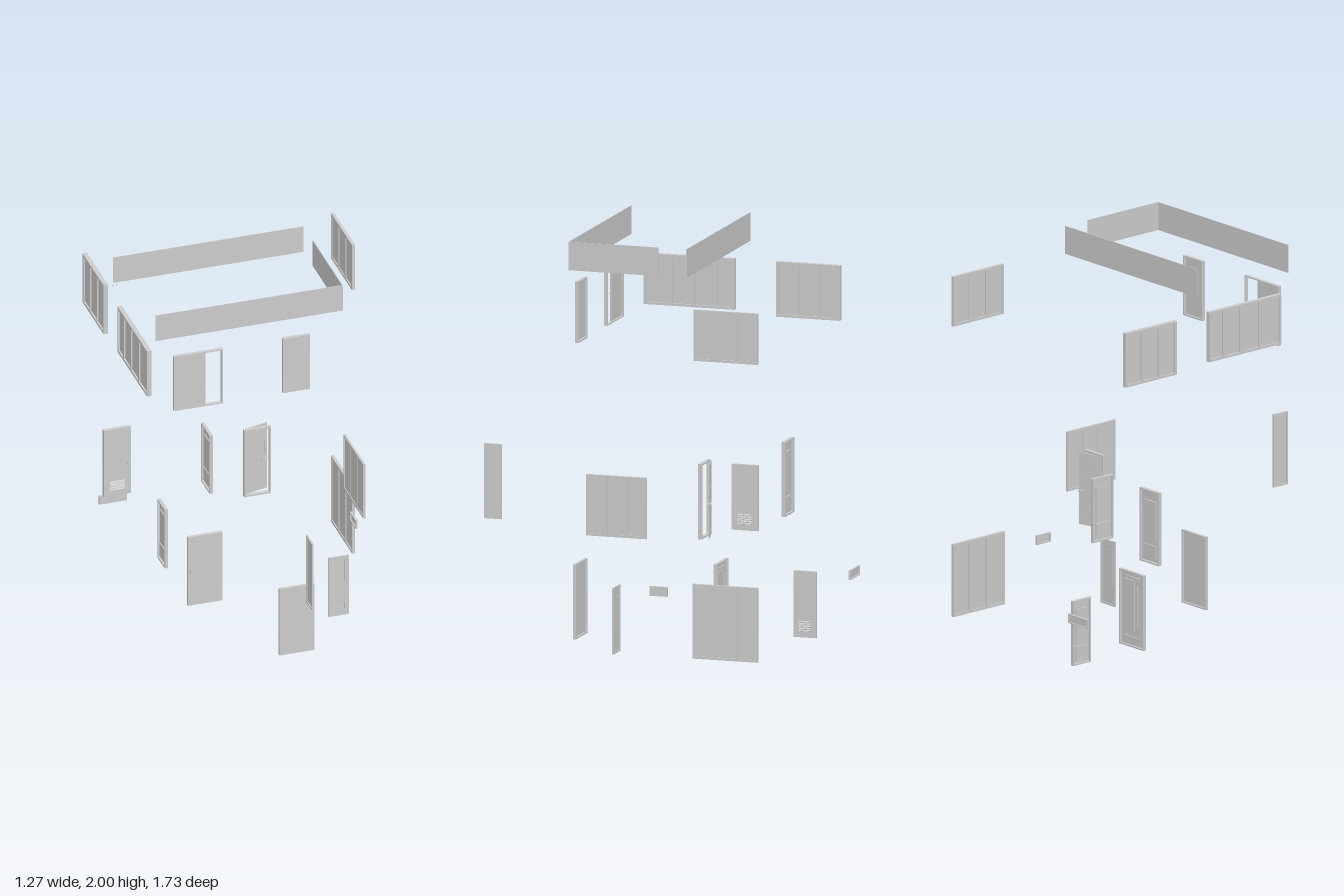
import * as THREE from 'three';

const mat = new THREE.MeshStandardMaterial({ color: 0xcccccc, flatShading: true });

function box(parent, name, w, h, d, x, y, z) {
  const m = new THREE.Mesh(new THREE.BoxGeometry(w, h, d), mat);
  m.name = name;
  m.position.set(x, y, z);
  parent.add(m);
  return m;
}

// Rectangular ring of four bars, centred on the group's origin
function ring(parent, name, w, h, d, t, z = 0) {
  const s = new THREE.Shape();
  s.moveTo(-w / 2, -h / 2).lineTo(w / 2, -h / 2).lineTo(w / 2, h / 2).lineTo(-w / 2, h / 2).closePath();
  const a = w / 2 - t, b = h / 2 - t;
  const hole = new THREE.Path();
  hole.moveTo(-a, -b).lineTo(-a, b).lineTo(a, b).lineTo(a, -b).closePath();
  s.holes.push(hole);
  const g = new THREE.ExtrudeGeometry(s, { depth: d, bevelEnabled: false });
  g.translate(0, 0, z - d / 2);
  const m = new THREE.Mesh(g, mat);
  m.name = name;
  parent.add(m);
}

// Group centred on a bounding box; side 'x' turns the local front to +x
function panelGroup(root, name, [x0, x1], [y0, y1], [z0, z1], side) {
  const g = new THREE.Group();
  g.name = name;
  g.position.set((x0 + x1) / 2, (y0 + y1) / 2, (z0 + z1) / 2);
  if (side === 'x') g.rotation.y = Math.PI / 2;
  root.add(g);
  const w = side === 'x' ? z1 - z0 : x1 - x0;
  const d = side === 'x' ? x1 - x0 : z1 - z0;
  return { g, w, h: y1 - y0, d };
}

// Knob with a small plate
function handle(g, x, y, z) {
  box(g, 'handlePlate', 0.006, 0.016, 0.004, x, y, z);
  const k = new THREE.Mesh(new THREE.CylinderGeometry(0.003, 0.003, 0.008, 8), mat);
  k.name = 'handleKnob';
  k.rotation.x = Math.PI / 2;
  k.position.set(x, y, z + 0.003);
  g.add(k);
}

// Stack of tilted vent slats
function louvers(g, w, x, y, z, count = 5, step = 0.011) {
  for (let i = 0; i < count; i++) {
    box(g, 'ventSlat', w, 0.01, 0.002, x, y + i * step, z).rotation.x = -0.5;
  }
}

// Framed window wall with recessed panes on both sides
function windowWall(root, name, bx, by, bz, splits) {
  const { g, w, h, d } = panelGroup(root, name, bx, by, bz, 'x');
  ring(g, 'frame', w, h, d, 0.012);
  box(g, 'panes', w - 0.02, h - 0.02, d * 0.25, 0, 0, 0);
  for (const s of splits) box(g, 'mullion', 0.012, h - 0.02, d * 0.9, (s - 0.5) * w, 0, 0);
  return { g, w, h, d };
}

// Sheet door: front skin, folded rim and a stiffener plate behind
function door(root, name, bx, by, bz, side, o = {}) {
  const p = panelGroup(root, name, bx, by, bz, side);
  const { g, w, h, d } = p;
  const skin = d * 0.35;
  box(g, 'skin', w, h, skin, 0, 0, d / 2 - skin / 2);
  ring(g, 'rim', w, h, d, 0.008);
  if (o.handle) handle(g, o.handle * (w / 2 - 0.015), o.handleY || 0, d / 2 + 0.001);
  if (o.slot) box(g, 'topSlot', w * 0.6, 0.006, 0.003, 0, h / 2 - 0.028, d / 2);
  if (o.vent) {
    louvers(g, w * 0.55, 0, -h / 2 + 0.035, d / 2);
    box(g, 'ventBacking', w * 0.62, 0.07, d * 0.4, 0, -h / 2 + 0.057, -d * 0.05);
  }
  if (o.stiff) box(g, 'stiffener', w * 0.6, h * 0.55, d * 0.4, 0, h * 0.08, 0);
  return p;
}

export function createModel() {
  const root = new THREE.Group();
  root.name = 'cabinPanels';

  // Roof fascia: three thin walls
  box(root, 'frontFascia', 0.945, 0.14, 0.004, -0.142, 1.93, 0.328);
  box(root, 'backFascia', 0.96, 0.14, 0.004, -0.15, 1.93, -0.268);
  box(root, 'sideFascia', 0.004, 0.14, 0.455, 0.331, 1.93, 0.1025);
  for (const x of [-0.635, -0.615]) box(root, 'fasciaClip', 0.006, 0.004, 0.004, x, 1.845, -0.266);

  // Window walls facing sideways
  windowWall(root, 'rearRightWindow', [-0.636, -0.613], [1.5, 1.77], [-0.73, -0.405], [0.34, 0.67]);
  windowWall(root, 'rearLeftWindow', [0.62, 0.635], [1.52, 1.77], [-0.73, -0.405], [0.34, 0.67]);
  const wide = windowWall(root, 'wideRightWindow', [-0.636, -0.613], [1.52, 1.77], [-0.195, 0.265], [0.3, 0.56, 0.8]);
  handle(wide.g, -0.11, 0, wide.d * 0.4);
  windowWall(root, 'lowerLeftWindow', [0.62, 0.635], [0.06, 0.425], [-0.73, -0.4], [0.34, 0.67]);
  windowWall(root, 'middleLeftWindow', [0.483, 0.494], [0.6, 0.9], [-0.12, 0.187], [0.34, 0.67]);

  // Sliding door covering part of its frame
  const slide = panelGroup(root, 'slidingDoor', [-0.53, -0.283], [1.47, 1.77], [0.338, 0.356], 'z');
  ring(slide.g, 'frame', slide.w, slide.h, slide.d, 0.006);
  box(slide.g, 'leaf', 0.16, slide.h - 0.008, 0.007, -0.0425, 0, 0.003);
  handle(slide.g, 0.029, -0.01, 0.008);

  // Plain doors
  door(root, 'upperDoor', [0.022, 0.16], [1.47, 1.77], [0.336, 0.354], 'z', { handle: -1, handleY: -0.01 });
  door(root, 'lowerDoor', [0.004, 0.18], [0.02, 0.387], [0.343, 0.357], 'z', { handle: -1 });
  const rear = door(root, 'rearDoor', [-0.255, -0.08], [0, 0.378], [-0.285, -0.268], 'z', { handle: -1 });
  box(rear.g, 'backBar', 0.008, 0.2, 0.008, -0.04, 0.02, -0.004);
  box(rear.g, 'backPlate', 0.07, 0.25, 0.005, 0.02, 0.02, -0.001);
  for (const y of [-0.14, 0.16]) box(rear.g, 'backRail', 0.1, 0.008, 0.006, 0, y, -0.002);

  // Vented locker doors
  const vented = { slot: true, vent: true, stiff: true, handle: 1 };
  door(root, 'largeVentedDoor', [-0.61, -0.472], [0.55, 0.917], [-0.5, -0.481], 'z', { ...vented, handleY: -0.015 });
  door(root, 'sideVentedDoor', [-0.117, -0.101], [0.55, 0.872], [-0.485, -0.352], 'x', { ...vented, handleY: -0.01 });
  door(root, 'rearVentedDoor', [-0.257, -0.24], [0.015, 0.34], [-0.733, -0.62], 'x', { ...vented });

  // Narrow side door with a top rail
  const narrow = door(root, 'narrowDoor', [0, 0.009], [0.55, 0.917], [0.777, 0.867], 'x',
    { handle: -1, handleY: -0.015 });
  box(narrow.g, 'topRail', 0.08, 0.005, 0.003, 0, 0.172, 0.0045);

  // Thin service door with rods
  const service = door(root, 'serviceDoor', [0.346, 0.45], [0.015, 0.34], [0.061, 0.07], 'z', { handle: -1, stiff: true });
  box(service.g, 'topSlot', 0.035, 0.006, 0.003, -0.02, 0.133, 0.0045);
  box(service.g, 'lockRod', 0.006, 0.115, 0.004, 0.03, 0.085, 0.005);
  box(service.g, 'lowerRod', 0.006, 0.035, 0.004, 0.03, -0.11, 0.005);
  for (const y of [-0.105, -0.118]) box(service.g, 'lowerRail', 0.06, 0.005, 0.003, -0.005, y, 0.005);

  // Open door: frame with a leaf swung to the rear
  const open = panelGroup(root, 'openDoor', [0.032, 0.168], [0.548, 0.917], [-0.291, -0.272], 'z');
  ring(open.g, 'frame', open.w, open.h, open.d, 0.008);
  const leaf = new THREE.Group();
  leaf.name = 'openLeaf';
  leaf.position.set(-0.063, 0, -0.012);
  leaf.rotation.y = 0.25;
  open.g.add(leaf);
  box(leaf, 'leafSheet', 0.13, 0.36, 0.005, 0.065, 0, 0);
  box(leaf, 'leafBar', 0.006, 0.06, 0.005, 0.117, 0.055, 0.004);
  box(leaf, 'leafHandle', 0.03, 0.008, 0.022, 0.115, -0.012, 0);
  for (let i = 0; i < 5; i++) {
    for (const x of [0.025, 0.07, 0.105]) box(leaf, 'leafStud', 0.006, 0.006, 0.011, x, -0.15 + i * 0.072, 0);
  }

  // Small cover plates
  const cover = panelGroup(root, 'rearCover', [-0.51, -0.37], [0.285, 0.331], [-0.867, -0.856], 'z');
  ring(cover.g, 'coverRim', cover.w, cover.h, cover.d, 0.005);
  box(cover.g, 'coverSheet', cover.w, cover.h, 0.004, 0, 0, 0.0035);
  const small = panelGroup(root, 'sideCover', [0.558, 0.568], [0.34, 0.387], [-0.25, -0.16], 'x');
  ring(small.g, 'coverRim', small.w, small.h, small.d, 0.006);
  box(small.g, 'coverSheet', small.w, small.h, 0.003, 0, 0, 0.0035);

  return root;
}
